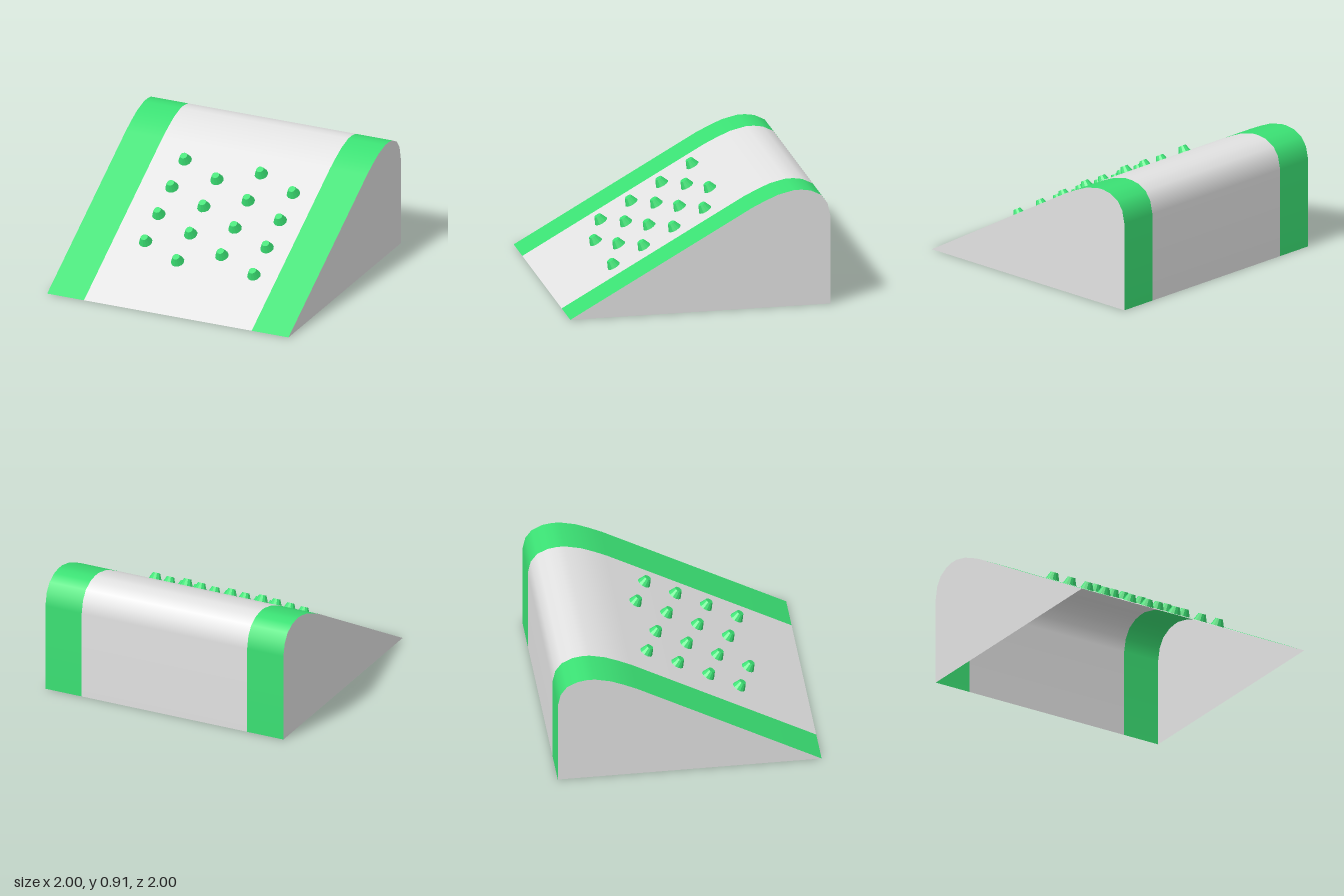
import * as THREE from 'three';

// Ramp profile as [z, y], from the front edge over the crest to the back foot
const PROFILE = [
  [1, 0], [-0.4, 0.79], [-0.5, 0.838], [-0.6, 0.88], [-0.72, 0.908], [-0.78, 0.908],
  [-0.85, 0.897], [-0.93, 0.857], [-0.978, 0.79], [-1, 0.69], [-1, 0],
];
const SLOPE = Math.atan2(0.79, 1.4);

// Outward normal of each profile point, weighted by neighbouring segment length
function profileNormals() {
  const seg = PROFILE.slice(1).map(([z, y], i) => [y - PROFILE[i][1], PROFILE[i][0] - z]);
  return PROFILE.map((_, i) => {
    const a = seg[i - 1] ?? [0, 0], b = seg[i] ?? [0, 0];
    return new THREE.Vector3(0, a[1] + b[1], a[0] + b[0]).normalize();
  });
}

// Curved skin between two x positions
function skin(x0, x1) {
  const pos = [], nor = [], idx = [];
  const normals = profileNormals();
  PROFILE.forEach(([z, y], i) => {
    pos.push(x0, y, z, x1, y, z);
    const n = normals[i].toArray();
    nor.push(...n, ...n);
    if (i > 0) {
      const a = 2 * i - 2;
      idx.push(a, a + 1, a + 3, a, a + 3, a + 2);
    }
  });
  const g = new THREE.BufferGeometry();
  g.setAttribute('position', new THREE.Float32BufferAttribute(pos, 3));
  g.setAttribute('normal', new THREE.Float32BufferAttribute(nor, 3));
  g.setIndex(idx);
  return g;
}

export function createModel() {
  const model = new THREE.Group();
  model.name = 'climbingRamp';
  const gray = new THREE.MeshStandardMaterial({ color: 0xe2e2e2, side: THREE.DoubleSide });
  gray.name = 'light gray';
  const green = new THREE.MeshStandardMaterial({ color: 0x3be174, side: THREE.DoubleSide, flatShading: false });
  green.name = 'bright green';

  const add = (name, geometry, material) => {
    const mesh = new THREE.Mesh(geometry, material);
    mesh.name = name;
    model.add(mesh);
    return mesh;
  };

  // Skin: gray centre with a green band at each side, open underneath
  add('centrePanel', skin(-0.695, 0.695), gray);
  add('rightBand', skin(-1, -0.695), green);
  add('leftBand', skin(0.695, 1), green);

  // Flat side walls
  const outline = new THREE.Shape(PROFILE.map(([z, y]) => new THREE.Vector2(-z, y)));
  for (const s of [-1, 1]) {
    const wall = add(s > 0 ? 'leftWall' : 'rightWall', new THREE.ShapeGeometry(outline), gray);
    wall.rotation.y = Math.PI / 2;
    wall.position.x = s;
  }

  // Staggered tapered grips standing square to the slope
  const height = 0.058;
  const grip = new THREE.CylinderGeometry(0.028, 0.053, height, 12).toNonIndexed();
  grip.computeVertexNormals();
  grip.translate(0, height / 2 - 0.002, 0);
  [-0.44, -0.125, 0.192, 0.508].forEach((x, col) => {
    for (let row = 0; row < 4; row++) {
      const z = -0.253 + (col % 2) * 0.109 + row * 0.234;
      const knob = add('grip', grip, green);
      knob.position.set(x, (1 - z) * Math.tan(SLOPE), z);
      knob.rotation.x = SLOPE;
    }
  });
  return model;
}
